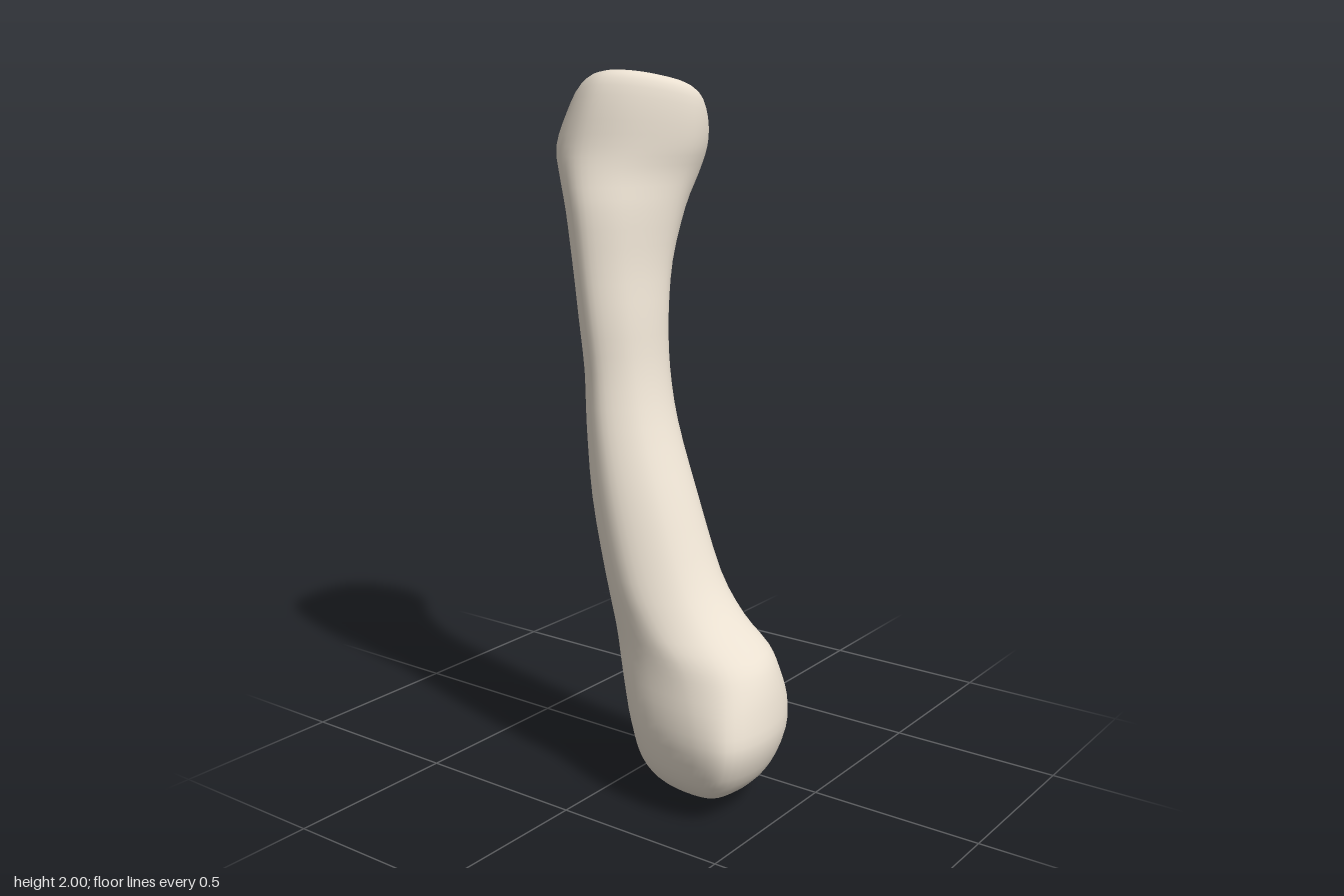
import * as THREE from 'three';

// Unit outlines seen from above, starting at +x and turning towards +z (u along x, v along z)
const OUTLINES = [
  // lower knuckle
  [[.95, -.1], [1, .5], [.6, .86], [-.25, 1], [-.88, .82], [-1, .4], [-.82, -.5], [-.4, -.95], [.3, -1], [.85, -.85]],
  // shaft
  [[1, -.3], [.85, .4], [.45, .92], [-.1, 1], [-.65, .75], [-1, .1], [-.85, -.5], [-.35, -.92], [.25, -1], [.85, -.8]],
  // upper head
  [[1, .1], [.92, .75], [.4, 1], [-.2, .83], [-.75, .42], [-1, -.1], [-.85, -.62], [-.3, -.87], [.4, -1], [.77, -.7]],
];

// Sections: y, xMin, xMax, zMin, zMax, outline blend (0 knuckle, 1 shaft, 2 head)
const SECTIONS = [
  [0.012, -0.21, -0.075, 0.15, 0.29, 0],
  [0.05, -0.30, -0.045, 0.10, 0.37, 0],
  [0.11, -0.35, -0.015, 0.06, 0.43, 0],
  [0.20, -0.365, 0.02, 0.025, 0.463, 0],
  [0.28, -0.35, 0.043, -0.01, 0.455, .1],
  [0.36, -0.32, 0.038, -0.045, 0.43, .3],
  [0.42, -0.30, 0.042, -0.07, 0.39, .5],
  [0.49, -0.28, 0.052, -0.10, 0.295, .8],
  [0.60, -0.26, 0.067, -0.14, 0.20, 1],
  [0.80, -0.22, 0.095, -0.21, 0.095, 1],
  [1.00, -0.175, 0.125, -0.255, -0.005, 1],
  [1.15, -0.145, 0.15, -0.28, -0.055, 1],
  [1.30, -0.135, 0.18, -0.31, -0.08, 1.1],
  [1.45, -0.122, 0.23, -0.345, -0.10, 1.3],
  [1.60, -0.11, 0.29, -0.385, -0.10, 1.6],
  [1.70, -0.09, 0.34, -0.43, -0.095, 1.9],
  [1.78, -0.07, 0.36, -0.465, -0.08, 2],
  [1.86, -0.045, 0.36, -0.438, -0.08, 2],
  [1.93, -0.012, 0.345, -0.40, -0.095, 2],
  [1.962, 0.03, 0.315, -0.355, -0.13, 2],
  [1.952, 0.09, 0.265, -0.30, -0.17, 2],
];

const SIDES = 50, STEPS = 3;
const { lerp, clamp, smoothstep } = THREE.MathUtils;

// Smooth closed curve through each unit outline
const smoothOutlines = OUTLINES.map((points) => new THREE.CatmullRomCurve3(
  points.map(([u, v]) => new THREE.Vector3(u, 0, v)), true, 'centripetal',
).getPoints(SIDES).slice(0, SIDES));

// Smooth interpolation of one section between its neighbours
function sectionAt(i, t) {
  const at = (k) => SECTIONS[clamp(k, 0, SECTIONS.length - 1)];
  return at(i).map((p1, c) => {
    const p2 = at(i + 1)[c];
    const m1 = (p2 - at(i - 1)[c]) / 2, m2 = (at(i + 2)[c] - p1) / 2;
    const t2 = t * t, t3 = t2 * t;
    return (2 * t3 - 3 * t2 + 1) * p1 + (t3 - 2 * t2 + t) * m1 + (3 * t2 - 2 * t3) * p2 + (t3 - t2) * m2;
  });
}

function boneGeometry() {
  const sections = [];
  for (let i = 0; i < SECTIONS.length - 1; i++) {
    for (let s = 0; s < STEPS; s++) sections.push(sectionAt(i, s / STEPS));
  }
  sections.push(SECTIONS[SECTIONS.length - 1]);

  const positions = [], index = [];
  for (const [y, x0, x1, z0, z1, rawBlend] of sections) {
    const blend = clamp(rawBlend, 0, 2);
    const k = Math.min(Math.floor(blend), 1);
    const tilt = smoothstep(y, 1.75, 1.93);
    for (let i = 0; i < SIDES; i++) {
      const a = smoothOutlines[k][i], b = smoothOutlines[k + 1][i];
      const dx = lerp(a.x, b.x, blend - k) * (x1 - x0) / 2;
      const dz = lerp(a.z, b.z, blend - k) * (z1 - z0) / 2;
      // The head slopes down towards +x and the back
      positions.push((x0 + x1) / 2 + dx, y + tilt * (0.14 * dz - 0.25 * dx), (z0 + z1) / 2 + dz);
    }
  }

  // Walls between neighbouring rings
  for (let r = 0; r < sections.length - 1; r++) {
    for (let i = 0; i < SIDES; i++) {
      const j = (i + 1) % SIDES, a = r * SIDES, b = a + SIDES;
      index.push(a + i, b + i, a + j, a + j, b + i, b + j);
    }
  }

  // Closed ends, the top one slightly hollow
  const bottom = positions.length / 3, top = bottom + 1, last = (sections.length - 1) * SIDES;
  positions.push(-0.14, 0, 0.22, 0.178, 1.946, -0.235);
  for (let i = 0; i < SIDES; i++) {
    const j = (i + 1) % SIDES;
    index.push(bottom, i, j, top, last + j, last + i);
  }

  const geometry = new THREE.BufferGeometry();
  geometry.setAttribute('position', new THREE.Float32BufferAttribute(positions, 3));
  geometry.setIndex(index);
  geometry.computeVertexNormals();
  return geometry;
}

export function createModel() {
  const group = new THREE.Group();
  group.name = 'footBone';
  const bone = new THREE.Mesh(boneGeometry(), new THREE.MeshStandardMaterial({ color: 0xe9dfd0 }));
  bone.name = 'bone';
  group.add(bone);
  return group;
}
